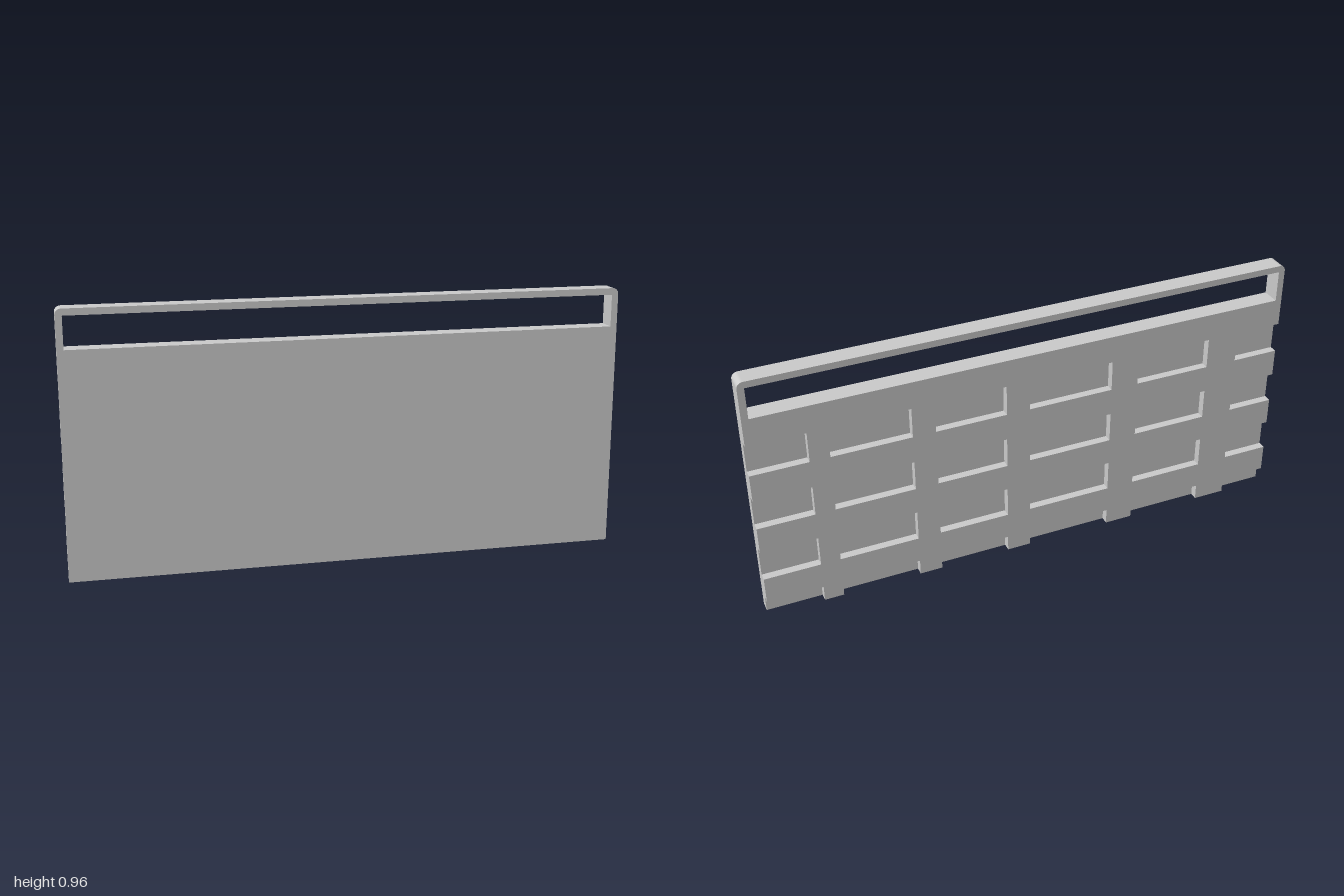
import * as THREE from 'three';

const TOP = 0.96, RADIUS = 0.022;
const FRONT = 0.0345, FLOOR = -0.005, BACK = -0.0345;

// vertical ribs on the back, as [low x, high x]
const ribs = [[-0.825, -0.706], [-0.421, -0.317], [0.001, 0.089], [0.351, 0.435], [0.725, 0.796]];
// pocket rows on the back, as [low y, high y]; the lowest row is open at the bottom
const rows = [[0.163, 0.28], [0.383, 0.498], [0.602, 0.717]];
const LOW_ROW = 0.06;

function rectPath(x0, x1, y0, y1) {
  const path = new THREE.Path();
  path.moveTo(x0, y0);
  path.lineTo(x0, y1);
  path.lineTo(x1, y1);
  path.lineTo(x1, y0);
  path.closePath();
  return path;
}

// rounded upper corners, from the right side over to the left
function addTop(shape) {
  shape.lineTo(1, TOP - RADIUS);
  shape.absarc(1 - RADIUS, TOP - RADIUS, RADIUS, 0, Math.PI / 2, false);
  shape.absarc(-1 + RADIUS, TOP - RADIUS, RADIUS, Math.PI / 2, Math.PI, false);
}

// long handle slot below the top rail
const handleSlot = () => rectPath(-0.976, 0.976, 0.82, 0.936);

function layer(name, shape, z0, z1, material) {
  const geometry = new THREE.ExtrudeGeometry(shape, { depth: z1 - z0, bevelEnabled: false, curveSegments: 8 });
  geometry.translate(0, 0, z0);
  const mesh = new THREE.Mesh(geometry, material);
  mesh.name = name;
  return mesh;
}

function frontShape() {
  const shape = new THREE.Shape();
  shape.moveTo(-1, 0);
  shape.lineTo(1, 0);
  addTop(shape);
  shape.closePath();
  shape.holes.push(handleSlot());
  return shape;
}

function latticeShape() {
  const shape = new THREE.Shape();
  const rightEdge = ribs[ribs.length - 1][1], leftEdge = ribs[0][0];

  // bottom edge with the rib ends reaching down
  shape.moveTo(-1, LOW_ROW);
  for (const [x0, x1] of ribs) {
    shape.lineTo(x0, LOW_ROW);
    shape.lineTo(x0, 0);
    shape.lineTo(x1, 0);
    shape.lineTo(x1, LOW_ROW);
  }
  shape.lineTo(1, LOW_ROW);

  // side notches going up, then down the other side
  for (const [y0, y1] of rows) {
    shape.lineTo(1, y0);
    shape.lineTo(rightEdge, y0);
    shape.lineTo(rightEdge, y1);
    shape.lineTo(1, y1);
  }
  addTop(shape);
  for (const [y0, y1] of [...rows].reverse()) {
    shape.lineTo(-1, y1);
    shape.lineTo(leftEdge, y1);
    shape.lineTo(leftEdge, y0);
    shape.lineTo(-1, y0);
  }
  shape.closePath();

  // closed pockets between neighbouring ribs
  shape.holes.push(handleSlot());
  for (const [y0, y1] of rows) {
    for (let i = 0; i < ribs.length - 1; i++) {
      shape.holes.push(rectPath(ribs[i][1], ribs[i + 1][0], y0, y1));
    }
  }
  return shape;
}

export function createModel() {
  const group = new THREE.Group();
  group.name = 'panel';
  const material = new THREE.MeshStandardMaterial({ color: 0xcccccc });
  group.add(layer('frontPlate', frontShape(), FLOOR, FRONT, material));
  group.add(layer('backLattice', latticeShape(), BACK, FLOOR, material));
  return group;
}
